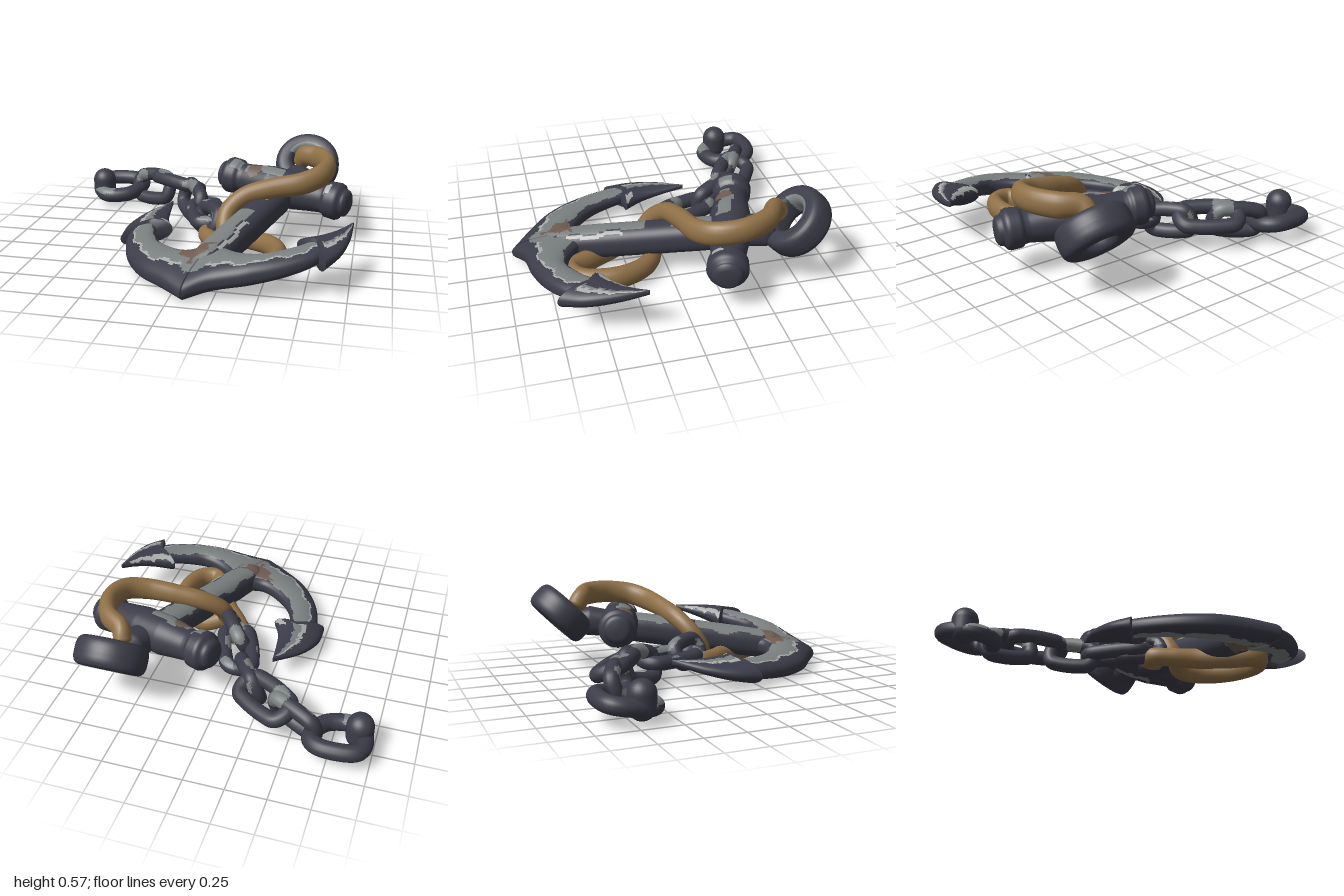
import * as THREE from 'three';

const V = (x, y, z) => new THREE.Vector3(x, y, z);
const mat = (name, color) => new THREE.MeshStandardMaterial({ name, color });

export function createModel() {
  const root = new THREE.Group();
  const DARK = 0, GREY = 1, LIGHT = 2, RUST = 3, ROPE = 4;
  const palette = [mat('darkIron', 0x3d3d4a), mat('wornIron', 0x7b8080),
    mat('brightEdge', 0xa9acaa), mat('rust', 0x705d53), mat('rope', 0x8f7047)];

  const add = (name, geo, material) => {
    const m = new THREE.Mesh(geo, material);
    m.name = name;
    root.add(m);
    return m;
  };

  // Sorts the faces of an indexed geometry into one group per colour
  function paintFaces(geo, pick) {
    const idx = geo.index.array, pos = geo.attributes.position;
    const sets = palette.map(() => []);
    for (let k = 0; k < idx.length; k += 3) {
      const tri = [idx[k], idx[k + 1], idx[k + 2]], c = V(0, 0, 0);
      tri.forEach(i => c.add(V(pos.getX(i), pos.getY(i), pos.getZ(i))));
      sets[pick(c.divideScalar(3), k / 3)].push(...tri);
    }
    geo.setIndex(sets.flat());
    geo.clearGroups();
    let start = 0;
    sets.forEach((s, i) => {
      if (s.length) geo.addGroup(start, s.length, i);
      start += s.length;
    });
    return geo;
  }

  // Closed loft: point(t, a) gives the surface, paint(t, a, p) its colour
  function loft(name, n, m, point, paint) {
    const P = [], idx = [];
    for (let i = 0; i <= n; i++)
      for (let j = 0; j < m; j++) P.push(point(i / n, j / m * Math.PI * 2));
    for (let i = 0; i < n; i++)
      for (let j = 0; j < m; j++) {
        const a = i * m + j, b = i * m + (j + 1) % m;
        idx.push(a, b, a + m, b, b + m, a + m);
      }
    for (const i of [0, n]) {
      const c = V(0, 0, 0), k = P.length;
      for (let j = 0; j < m; j++) c.add(P[i * m + j]);
      P.push(c.divideScalar(m));
      for (let j = 0; j < m; j++) {
        const a = i * m + j, b = i * m + (j + 1) % m;
        idx.push(k, ...(i ? [a, b] : [b, a]));
      }
    }
    // Turn the faces outward
    let vol = 0;
    for (let k = 0; k < idx.length; k += 3)
      vol += P[idx[k]].dot(V(0, 0, 0).crossVectors(P[idx[k + 1]], P[idx[k + 2]]));
    if (vol < 0) for (let k = 0; k < idx.length; k += 3) [idx[k], idx[k + 1]] = [idx[k + 1], idx[k]];
    const geo = new THREE.BufferGeometry().setFromPoints(P);
    geo.setIndex(idx);
    geo.computeVertexNormals();
    paintFaces(geo, (p, f) => {
      const q = Math.floor(f / 2), i = Math.floor(q / m);
      return i >= n ? paint(1, 0, p) : paint((i + 0.5) / n, (q % m + 0.5) / m * Math.PI * 2, p);
    });
    return add(name, geo, palette);
  }

  const wob = t => 0.08 * Math.sin(19 * t + 1) + 0.06 * Math.sin(43 * t);
  const soft = (v, p) => Math.sign(v) * Math.pow(Math.abs(v), p);
  // Height of the tilted plane the anchor lies in
  const plane = (x, z) => 0.09 + 0.15 * (x - 0.1) - 0.114 * (z - 0.85);
  const onPlane = ([x, z, drop = 0]) => V(x, plane(x, z) - drop, z);
  const table = rows => t => {
    let i = 1;
    while (i < rows.length - 1 && t > rows[i][0]) i++;
    const [a, b] = [rows[i - 1], rows[i]];
    return THREE.MathUtils.mapLinear(t, a[0], b[0], a[1], b[1]);
  };
  // Rusty wedge on the crown
  const rusty = p => p.z > 0.57 && Math.abs(p.x - 0.09) < 0.13 * (0.75 - p.z) / 0.18 + 0.02 * Math.sin(p.z * 60);

  // Blade between an outer and an inner edge, thickest along its middle
  function blade(name, outer, inner, thick, power, sweep, paint) {
    const o = new THREE.CatmullRomCurve3(outer.map(onPlane));
    const i = new THREE.CatmullRomCurve3(inner.map(onPlane));
    const tip = o.getPoint(1);
    loft(name, 100, 64, (t, a) => {
      const p = i.getPoint(t).lerp(o.getPoint(t), (Math.cos(a) + 1) / 2);
      const toTip = tip.clone().sub(p).setY(0).normalize();
      p.addScaledVector(toTip, sweep * (1 - t) * (1 - Math.abs(Math.cos(a))));
      p.y += thick(t) * soft(Math.sin(a), power);
      return p;
    }, paint);
  }

  // Arms, meeting in the pointed crown
  const armThick = table([[0, 0.085], [0.4, 0.075], [1, 0.05]]);
  const armPaint = (t, a, p) => {
    const c = Math.cos(a), w = wob(t);
    if (rusty(p)) return RUST;
    if (c > 0.46 + w || c < -0.78 - w * 0.5 || p.z > 0.84) return DARK;
    return c > 0.33 + w * 1.4 && Math.sin(a) > 0 && t > 0.1 ? LIGHT : GREY;
  };
  blade('leftwardArm',
    [[0.08, 0.95, 0.03], [-0.07, 0.83, 0.01], [-0.25, 0.68], [-0.38, 0.47], [-0.44, 0.22], [-0.42, 0.05]],
    [[0.2, 0.45], [0.04, 0.53], [-0.1, 0.46], [-0.2, 0.35], [-0.27, 0.17], [-0.3, 0.02]],
    armThick, 0.8, 0, armPaint);
  blade('rightwardArm',
    [[0.08, 0.95, 0.03], [0.22, 0.89, 0.01], [0.45, 0.86], [0.65, 0.8], [0.8, 0.71], [0.9, 0.58]],
    [[0.2, 0.45], [0.36, 0.6], [0.5, 0.645], [0.6, 0.61], [0.7, 0.55], [0.82, 0.45]],
    armThick, 0.8, 0, armPaint);

  // Barbed flukes: a worn stripe between lo and hi, and a bright inner edge
  const flukeThick = t => 0.08 * (1 - t * 0.8);
  const flukePaint = (lo, hi, innerEnd) => (t, a) => {
    const c = Math.cos(a) + wob(t) * 0.6;
    if (Math.sin(a) < 0.05 || t > 0.94) return DARK;
    if (c > lo && c < hi && t > 0.06) return c > hi - 0.2 ? LIGHT : GREY;
    return t < innerEnd && c < -0.6 && c > -0.92 ? LIGHT : DARK;
  };
  blade('leftwardFluke', [[-0.49, 0.24], [-0.49, 0.08], [-0.42, -0.1], [-0.27, -0.28]],
    [[-0.165, 0.14], [-0.22, 0.02], [-0.245, -0.12], [-0.262, -0.28]], flukeThick, 0.9, 0.06, flukePaint(-0.2, 0.35, 0.15));
  blade('rightwardFluke', [[0.87, 0.76], [0.95, 0.62], [0.99, 0.45], [1.0, 0.26]],
    [[0.68, 0.48], [0.82, 0.42], [0.92, 0.34], [0.99, 0.255]], flukeThick, 0.9, 0.06, flukePaint(0.25, 0.6, 0.8));

  // Straight bar with a radius profile along it
  function bar(name, a, b, radius, power, paint) {
    const d = b.clone().sub(a).normalize();
    const side = V(0, 0, 0).crossVectors(d, V(0, 1, 0)).normalize();
    const up = V(0, 0, 0).crossVectors(side, d);
    loft(name, 100, 48, (t, g) => a.clone().lerp(b, t)
      .addScaledVector(side, radius(t) * soft(Math.cos(g), power))
      .addScaledVector(up, radius(t) * soft(Math.sin(g), power)), paint);
  }

  // Shank
  bar('shank', onPlane([0.11, 0.78]), V(0.6, 0.32, -0.63),
    table([[0, 0.04], [0.1, 0.095], [0.25, 0.102], [0.7, 0.102], [0.88, 0.092], [0.96, 0.1], [1, 0.07]]), 0.85,
    (t, a, p) => {
      const c = Math.cos(a) + wob(t);
      if (rusty(p)) return RUST;
      if (Math.sin(a) < 0.15) return DARK;
      if (t < 0.47) return c > -0.8 && c < 0.4 ? GREY : c > 0.5 && c < 0.72 && t > 0.14 && t < 0.38 ? LIGHT : DARK;
      return t > 0.58 && t < 0.8 && c > -0.75 && c < 0.35 ? GREY : DARK;
    });

  // Stock with collared ends
  const half = table([[0, 0.13], [0.2, 0.13], [0.4, 0.115], [0.6, 0.102], [0.66, 0.105], [0.7, 0.122],
    [0.84, 0.126], [0.88, 0.118], [0.91, 0.095], [0.97, 0.088], [1, 0.06]]);
  bar('stock', V(0.035, 0.335, -0.535), V(0.95, 0.265, -0.21), t => half(Math.abs(t * 2 - 1)), 1,
    (t, a, p) => {
      const c = Math.cos(a) + wob(t);
      if (Math.sin(a) > 0.3 && Math.hypot(p.x - 0.29, p.z + 0.39) < 0.05) return RUST;
      if (Math.sin(a) < 0) return c > -0.1 && c < 0.2 && t > 0.3 && t < 0.6 ? GREY : DARK;
      if (t > 0.1 && t < 0.18) return c > -0.1 && c < 0.65 ? GREY : DARK;
      return t > 0.22 && t < 0.52 && c > 0 && c < 0.65 ? GREY : t > 0.84 && t < 0.88 && c > 0.2 && c < 0.7 ? LIGHT : DARK;
    });

  // Broad ring at the head, with wear on its inner wall
  const ringProfile = [];
  for (let k = 0; k <= 28; k++) {
    const a = k / 28 * Math.PI * 2;
    ringProfile.push(new THREE.Vector2(0.16 + 0.065 * soft(Math.cos(a), 0.68), 0.092 * soft(Math.sin(a), 0.68)));
  }
  const ringGeo = new THREE.LatheGeometry(ringProfile, 64);
  paintFaces(ringGeo, p => p.z < -0.05 && Math.hypot(p.x, p.z) < 0.14 && p.y > -0.04 ? GREY : DARK);
  ringGeo.rotateX(Math.PI / 4);
  add('headRing', ringGeo, palette).position.set(0.62, 0.368, -0.752);

  // Chain links; each lies along dir and is rolled about it
  const wear = top => p => p.y > top && Math.sin(p.x * 29 + 1) + Math.sin(p.z * 25) > 0.6 ? GREY : DARK;
  function link(x, y, z, dir, length, roll, w = 0.088) {
    const d = dir.normalize();
    const flat = V(0, 0, 0).crossVectors(V(0, 1, 0), d).normalize().applyAxisAngle(d, roll);
    const h = length / 2 - 0.045;
    const pts = [[h, 0], [h * 0.85, w * 0.8], [h * 0.4, w], [-h * 0.4, w], [-h * 0.85, w * 0.8],
      [-h, 0], [-h * 0.85, -w * 0.8], [-h * 0.4, -w], [h * 0.4, -w], [h * 0.85, -w * 0.8]]
      .map(([u, v]) => V(x, y, z).addScaledVector(d, u).addScaledVector(flat, v));
    const curve = new THREE.CatmullRomCurve3(pts, true);
    add('chainLink', paintFaces(new THREE.TubeGeometry(curve, 80, 0.048, 16, true), wear(y + 0.025)), palette);
  }
  link(-0.52, 0.14, -0.71, V(0.34, 0.04, 0.17), 0.4, 1.25);
  link(-0.32, 0.195, -0.665, V(0.34, 0, 0.22), 0.46, -0.4);
  link(-0.17, 0.14, -0.46, V(0.2, -0.05, 0.33), 0.38, 1.25);
  link(-0.01, 0.14, -0.2, V(0.13, 0, 0.36), 0.5, 0.1);
  link(0.04, 0.155, -0.05, V(0.2, 0.03, 0.28), 0.36, 1.1, 0.07);

  // Broad shackle at the free end of the chain, its far side raised
  const shackle = new THREE.CatmullRomCurve3([[-0.935, -0.7], [-0.95, -0.83], [-0.91, -0.895], [-0.72, -0.91],
    [-0.65, -0.86], [-0.645, -0.77], [-0.71, -0.65], [-0.86, -0.615]]
    .map(([x, z]) => V(x, 0.08 - 0.18 * (z + 0.62), z)), true);
  add('endShackle', paintFaces(new THREE.TubeGeometry(shackle, 72, 0.053, 16, true),
    p => p.y > 0.1 && p.z > -0.66 && p.x < -0.8 ? GREY : DARK), palette);
  const pin = new THREE.CapsuleGeometry(0.083, 0.07, 8, 24);
  add('shacklePin', pin, palette[DARK]).position.set(-0.91, 0.135, -0.71);

  // Rope: from the ring, over the shank, looped below it and tied under the chain
  const ropePath = new THREE.CatmullRomCurve3([
    V(0.58, 0.39, -0.67), V(0.61, 0.47, -0.61), V(0.72, 0.48, -0.53), V(0.79, 0.475, -0.36), V(0.76, 0.455, -0.2),
    V(0.65, 0.42, -0.11), V(0.45, 0.385, -0.065), V(0.28, 0.335, -0.02), V(0.18, 0.24, 0.05),
    V(0.19, 0.12, 0.12), V(0.32, 0.075, 0.08), V(0.47, 0.08, 0.16), V(0.56, 0.09, 0.36), V(0.51, 0.085, 0.57),
    V(0.4, 0.08, 0.61), V(0.3, 0.07, 0.47), V(0.2, 0.07, 0.28), V(0.1, 0.075, 0.15), V(0.045, 0.085, 0.04),
    V(0.09, 0.09, -0.02), V(0.17, 0.09, 0.05)]);
  const ropeHeight = table([[0, 0.06], [0.1, 0.08], [0.25, 0.075], [0.38, 0.057], [0.5, 0.06],
    [0.6, 0.075], [0.75, 0.075], [0.85, 0.06], [1, 0.057]]);
  const ropeEnds = table([[0, 0.3], [0.015, 1], [0.985, 1], [1, 0.3]]);
  loft('rope', 240, 20, (t, a) => {
    const d = ropePath.getTangent(t);
    const side = V(0, 0, 0).crossVectors(d, V(0, 1, 0)).normalize();
    const up = V(0, 0, 0).crossVectors(side, d);
    return ropePath.getPoint(t).addScaledVector(side, 0.057 * ropeEnds(t) * Math.cos(a))
      .addScaledVector(up, ropeHeight(t) * ropeEnds(t) * Math.sin(a));
  }, () => ROPE);

  return root;
}
